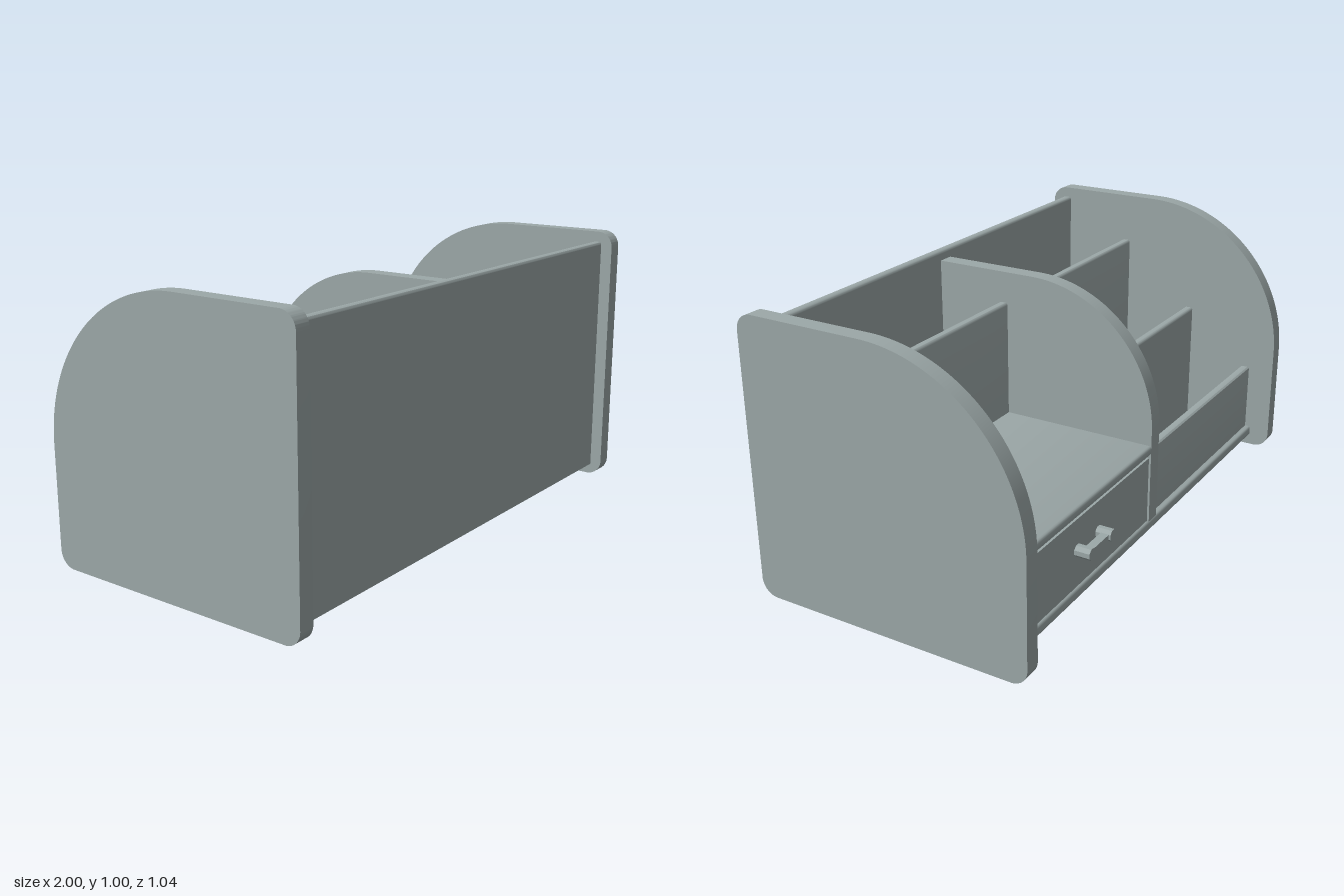
import * as THREE from 'three';
import { toCreasedNormals } from 'three/addons/utils/BufferGeometryUtils.js';

const paint = new THREE.MeshStandardMaterial({ color: 0x9ca8a8 });
paint.name = 'greyPaint';

// Side profile in (z, y); corner radii: back bottom, front bottom, front top, back top
function profile(z0, y0, z1, y1, [a, b, c, d]) {
  const s = new THREE.Shape();
  const corner = (z, y, r, start) => {
    if (r > 0) s.absarc(z, y, r, start, start + Math.PI / 2, false);
    else s.lineTo(z, y);
  };
  s.moveTo(z0 + a, y0);
  corner(z1 - b, y0 + b, b, -Math.PI / 2);
  corner(z1 - c, y1 - c, c, 0);
  corner(z0 + d, y1 - d, d, Math.PI / 2);
  corner(z0 + a, y0 + a, a, Math.PI);
  return s;
}

export function createModel() {
  const model = new THREE.Group();
  model.name = 'deskOrganizer';

  // Board: a profile run along x from x0 to x1
  function board(name, x0, x1, z0, y0, z1, y1, radii) {
    let geo = new THREE.ExtrudeGeometry(profile(z0, y0, z1, y1, radii), {
      depth: x1 - x0, bevelEnabled: false, curveSegments: 24,
    });
    geo.rotateY(-Math.PI / 2);
    geo.translate(x1, 0, 0);
    geo = toCreasedNormals(geo, 0.6);
    const mesh = new THREE.Mesh(geo, paint);
    mesh.name = name;
    model.add(mesh);
    return mesh;
  }

  const E = 0.01; // eased edge radius
  const topEased = [0, 0, E, E];

  // Outer sides
  for (const [name, x0] of [['leftSide', 0.94], ['rightSide', -1]]) {
    board(name, x0, x0 + 0.06, -0.52, 0, 0.52, 1, [0.06, 0.06, 0.06, 0.57]);
  }

  // Carcass
  board('frontPanel', -0.94, 0.94, 0.44, 0.04, 0.475, 0.96, topEased);
  board('base', -0.94, 0.94, -0.44, 0.04, 0.44, 0.08, [E, 0, 0, E]);
  board('centreDivider', -0.03, 0.03, -0.44, 0.08, 0.44, 0.925, [0, 0, 0, 0.49]);

  // Upright partitions
  board('tallPartitionLeft', 0.03, 0.94, 0.152, 0.08, 0.187, 0.81, topEased);
  board('tallPartitionRight', -0.94, -0.03, 0.152, 0.08, 0.187, 0.81, topEased);
  board('middlePartition', -0.94, -0.03, -0.15, 0.08, -0.115, 0.56, topEased);
  board('lowPartition', -0.94, -0.03, -0.418, 0.08, -0.38, 0.345, topEased);

  // Shelf over the drawer
  board('shelf', 0.03, 0.94, -0.44, 0.345, 0.152, 0.38, [E, 0, 0, E]);

  // Drawer with its handle
  board('drawer', 0.04, 0.93, -0.437, 0.088, 0.12, 0.338, [0, 0, 0, 0]);
  const handle = new THREE.Group();
  handle.name = 'drawerHandle';
  handle.position.set(0.483, 0.225, -0.437);
  for (const side of [-1, 1]) {
    const geo = new THREE.CylinderGeometry(0.022, 0.022, 0.056, 8);
    geo.rotateY(Math.PI / 8);
    geo.rotateX(Math.PI / 2);
    const post = new THREE.Mesh(toCreasedNormals(geo, 0.3), paint);
    post.name = 'handlePost';
    post.position.set(side * 0.071, 0, -0.028);
    handle.add(post);
  }
  const bar = new THREE.Mesh(new THREE.BoxGeometry(0.11, 0.02, 0.03), paint);
  bar.name = 'handleBar';
  bar.position.z = -0.035;
  handle.add(bar);
  model.add(handle);

  return model;
}
